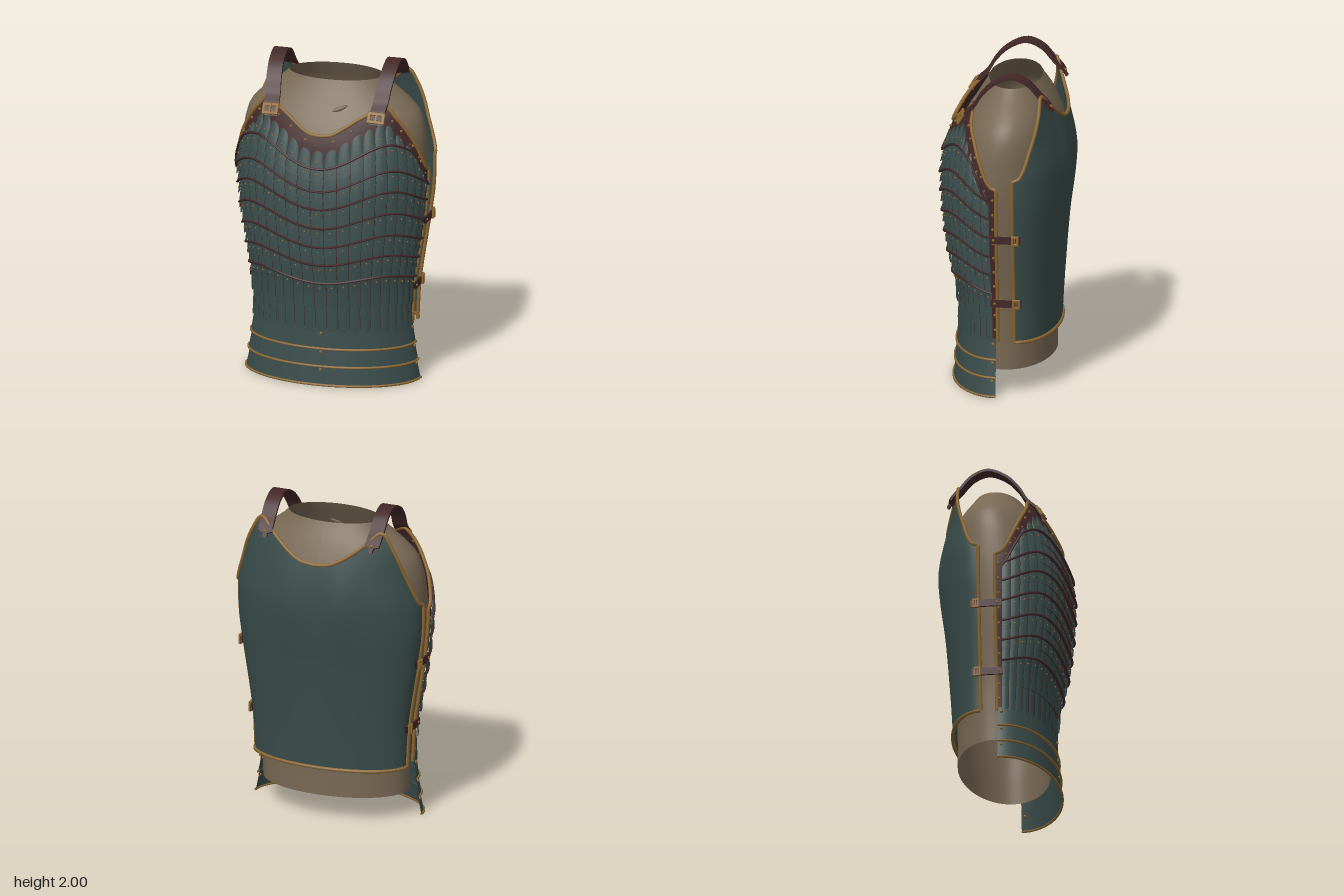
import * as THREE from 'three';
import { mergeGeometries, toCreasedNormals } from 'three/addons/utils/BufferGeometryUtils.js';

const DEG = Math.PI / 180;
const V = (x, y, z) => new THREE.Vector3(x, y, z);
const lerp = THREE.MathUtils.lerp;

function paint(name, color) {
  const m = new THREE.MeshStandardMaterial({ color, side: THREE.DoubleSide });
  m.name = name;
  return m;
}

// Smooth interpolation through a table of [key, value, value...] rows
function curve(rows, col = 1) {
  const n = rows.length;
  const slope = (i) => {
    const a = rows[Math.max(i - 1, 0)], b = rows[Math.min(i + 1, n - 1)];
    return (b[col] - a[col]) / (b[0] - a[0]);
  };
  return (x) => {
    if (x <= rows[0][0]) return rows[0][col];
    if (x >= rows[n - 1][0]) return rows[n - 1][col];
    let i = 0;
    while (x > rows[i + 1][0]) i++;
    const h = rows[i + 1][0] - rows[i][0], t = (x - rows[i][0]) / h, t2 = t * t, t3 = t2 * t;
    return (2 * t3 - 3 * t2 + 1) * rows[i][col] + (t3 - 2 * t2 + t) * h * slope(i)
      + (3 * t2 - 2 * t3) * rows[i + 1][col] + (t3 - t2) * h * slope(i + 1);
  };
}

// Grid surface from a function of u, v in 0..1
function patch(fn, nu, nv) {
  const pos = [], idx = [];
  for (let j = 0; j <= nv; j++) for (let i = 0; i <= nu; i++) pos.push(...fn(i / nu, j / nv).toArray());
  for (let j = 0; j < nv; j++) for (let i = 0; i < nu; i++) {
    const a = j * (nu + 1) + i, c = a + nu + 1;
    idx.push(a, a + 1, c + 1, a, c + 1, c);
  }
  const g = new THREE.BufferGeometry();
  g.setAttribute('position', new THREE.Float32BufferAttribute(pos, 3));
  g.setIndex(idx);
  g.computeVertexNormals();
  return g;
}

const tube = (pts, r, seg) => new THREE.TubeGeometry(new THREE.CatmullRomCurve3(pts, false, 'centripetal'), seg, r, 6);
const sample = (n, fn) => Array.from({ length: n + 1 }, (_, i) => fn(i / n));
const studs = (pts, r) => mergeGeometries(pts.map((p) => new THREE.SphereGeometry(r, 7, 5).translate(p.x, p.y, p.z)));

// Flat band with thickness along a path; wide is the direction across it
function band(pts, wide, width, thick, seg, taper = false) {
  const c = new THREE.CatmullRomCurve3(pts);
  const g = patch((u, v) => {
    const t = c.getTangent(v), n = t.clone().cross(wide).normalize();
    const k = Math.round(u * 4) % 4, sx = k === 0 || k === 3 ? -1 : 1, sn = k < 2 ? -1 : 1;
    const w = width * (taper && v > 0.95 ? 0.3 : 1);
    return c.getPoint(v).addScaledVector(wide, sx * w / 2).addScaledVector(n, sn * thick / 2);
  }, 4, seg);
  return toCreasedNormals(g, 0.6);
}

// Rectangular buckle frame with a prong
function buckleGeometry(w, h, bar) {
  const s = new THREE.Shape([[-w, -h], [w, -h], [w, h], [-w, h]].map(([x, y]) => new THREE.Vector2(x / 2, y / 2)));
  const a = w / 2 - bar, b = h / 2 - bar;
  s.holes.push(new THREE.Path([[-a, -b], [-a, b], [a, b], [a, -b]].map(([x, y]) => new THREE.Vector2(x, y))));
  const frame = new THREE.ExtrudeGeometry(s, { depth: 0.01, bevelEnabled: true, bevelSize: 0.003, bevelThickness: 0.003, bevelSegments: 1 });
  const prong = new THREE.BoxGeometry(bar * 0.7, h, 0.01).toNonIndexed().translate(0, 0, 0.012);
  return mergeGeometries([frame, prong]);
}

// Breast surface: height, half width, depth
const FRONT = [[0.34, 0.485, 0.275], [0.6, 0.5, 0.3], [0.8, 0.53, 0.345], [1, 0.562, 0.373], [1.2, 0.582, 0.388],
  [1.3, 0.588, 0.388], [1.4, 0.583, 0.378], [1.53, 0.567, 0.35], [1.6, 0.552, 0.325], [1.7, 0.538, 0.28], [1.77, 0.53, 0.23]];
const frx = curve(FRONT), frz = curve(FRONT, 2);
const front = (a, y, off = 0) => V((frx(y) + off) * Math.sin(a), y, (frz(y) + off) * Math.cos(a));
const frontEdge = curve([[0, 1.6], [7.5, 1.61], [16, 1.655], [24, 1.7], [34, 1.74], [42, 1.77], [45, 1.765], [50, 1.73],
  [64, 1.61], [73, 1.5], [80, 1.4], [85, 1.355], [90, 1.34]]);
const frontTop = (a) => frontEdge(Math.abs(a) / DEG);

// Back surface with shoulder blade swell
const BACK = [[0.34, 0.49, 0.325], [0.6, 0.505, 0.34], [1, 0.565, 0.37], [1.2, 0.592, 0.39], [1.4, 0.597, 0.398],
  [1.5, 0.585, 0.39], [1.6, 0.572, 0.373], [1.7, 0.583, 0.347], [1.8, 0.605, 0.315], [1.88, 0.62, 0.288]];
const brx = curve(BACK), brz = curve(BACK, 2);
const back = (a, y, off = 0) => {
  const x = (brx(y) + off) * Math.sin(a);
  const swell = 0.016 * Math.exp(-(((Math.abs(x) - 0.17) / 0.1) ** 2) - ((y - 1.4) / 0.25) ** 2);
  return V(x, y, -0.1 - (brz(y) + off - 0.1) * Math.cos(a) - swell);
};
const backEdge = curve([[0, 1.66], [10, 1.675], [20, 1.73], [30, 1.81], [36, 1.87], [38.5, 1.88], [42, 1.865], [48, 1.8],
  [58, 1.7], [69, 1.58], [76, 1.48], [82, 1.42], [90, 1.4]]);
const backTop = (a) => backEdge(Math.abs(a) / DEG);

// Inner torso: height, half width, front z, back z
const BODY = [[0.16, 0.465, 0.25, -0.3], [0.36, 0.468, 0.25, -0.3], [0.6, 0.485, 0.27, -0.31], [1, 0.545, 0.34, -0.34],
  [1.3, 0.572, 0.36, -0.375], [1.5, 0.567, 0.325, -0.365], [1.6, 0.553, 0.28, -0.345], [1.68, 0.525, 0.235, -0.315],
  [1.75, 0.46, 0.19, -0.285], [1.81, 0.385, 0.155, -0.255], [1.86, 0.32, 0.125, -0.225], [1.89, 0.292, 0.11, -0.21]];
const [bodyX, bodyF, bodyB] = [1, 2, 3].map((c) => curve(BODY, c));

export function createModel() {
  const root = new THREE.Group();
  root.name = 'torsoArmour';
  const teal = paint('tealSteel', 0x394c4a), leather = paint('maroonLeather', 0x432728);
  const gold = paint('agedBrass', 0x8d6831), cloth = paint('tanTorso', 0x786853);
  const add = (name, geo, mat, parent = root) => {
    const m = new THREE.Mesh(geo, mat);
    m.name = name;
    parent.add(m);
    return m;
  };
  const ang = (u) => (u - 0.5) * Math.PI;

  // Inner torso, open at neck and waist
  add('innerTorso', patch((u, v) => {
    const y = lerp(0.16, 1.89, v), a = (u - 0.5) * 2 * Math.PI, f = bodyF(y), b = bodyB(y);
    return V(bodyX(y) * Math.sin(a), y, (f + b) / 2 + (f - b) / 2 * Math.cos(a));
  }, 80, 44), cloth);
  const patchMark = add('chestMark', new THREE.SphereGeometry(1, 16, 8).scale(0.05, 0.014, 0.012), cloth);
  patchMark.position.set(0.09, 1.74, 0.195);
  patchMark.rotation.set(-0.6, 0.1, 0.5);

  // Leather backing of the breast, and the plain back plate
  add('breastLeather', patch((u, v) => front(ang(u), lerp(0.34, frontTop(ang(u)), v)), 90, 36), leather);
  add('backPlate', patch((u, v) => back(ang(u), lerp(0.34, backTop(ang(u)), v)), 90, 40), teal);

  // Brass edging
  const outline = (surf, top) => [
    ...sample(10, (t) => surf(-Math.PI / 2, lerp(0.345, top(Math.PI / 2) - 0.02, t), 0.004)),
    ...sample(90, (t) => surf(ang(t), top(ang(t)), 0.004)),
    ...sample(10, (t) => surf(Math.PI / 2, lerp(top(Math.PI / 2) - 0.02, 0.345, t), 0.004))];
  add('breastTrim', tube(outline(front, frontTop), 0.011, 300), gold);
  add('backTrim', tube(outline(back, backTop), 0.011, 300), gold);
  add('backHemTrim', tube(sample(40, (t) => back(ang(t), 0.345, 0.003)), 0.011, 80), gold);

  // Overlapping scale rows, following a wave across the chest
  const A = 84 * DEG, COLS = 21, step = 2 * A / COLS;
  const scaleTop = (a) => frontTop(a) - 0.085;
  const wave = (c) => (a) => Math.min(c + lerp(0.05, 0.145, (c - 0.66) / 0.75) * Math.sin(2 * a) ** 2, scaleTop(a) - 0.02);
  const cords = [1.41, 1.27, 1.155, 1.03, 0.905, 0.785, 0.66];
  const lines = [];
  cords.forEach((c, i) => {
    lines.push(wave(c));
    if (i < cords.length - 1) lines.push(wave((c + cords[i + 1]) / 2));
  });
  lines.push((a) => 0.5 + 0.015 * Math.sin(2 * a) ** 2, () => 0.35);
  const scaleRow = (upper, lower, rounded) => {
    const cells = [];
    for (let k = 0; k < COLS; k++) {
      const mid = -A + (k + 0.5) * step;
      cells.push(patch((u, v) => {
        const s = (u - 0.5) * 2, a = mid + s * step * 0.475;
        const round = rounded ? 0.055 * (1 - Math.sqrt(Math.max(0, 1 - s * s))) : 0;
        const hi = upper(a) - round, lo = Math.min(lower(a) - 0.006, hi);
        return front(a, lerp(lo, hi, v), lerp(0.021, 0.007, v) - 0.004 * s * s);
      }, rounded ? 10 : 4, 3));
    }
    return mergeGeometries(cells);
  };
  add('scallopedScales', scaleRow(scaleTop, lines[0], true), teal);
  for (let i = 0; i < lines.length - 1; i++) add('scaleRow' + (i + 1), scaleRow(lines[i], lines[i + 1], false), teal);

  // Leather cords between rows, with small rivets under each
  const rivets = [];
  cords.forEach((c, i) => {
    const line = wave(c);
    add('scaleCord' + (i + 1), tube(sample(60, (t) => front(lerp(-A, A, t), line(lerp(-A, A, t)), 0.019)), 0.0075, 120), leather);
    for (let k = 0; k < COLS; k++) {
      const a = -A + (k + 0.5) * step;
      rivets.push(front(a, line(a) - 0.035, 0.012));
      if (i === 0) rivets.push(front(a, line(a) + 0.04, 0.014));
    }
  });
  add('scaleRivets', studs(rivets, 0.006), gold);

  // Larger studs along the yoke and side borders
  const border = [];
  for (const d of [-76, -68, -58, -50, -31, -20, -9, 9, 20, 31, 50, 58, 68, 76]) {
    border.push(front(d * DEG, frontTop(d * DEG) - 0.042, 0.004));
  }
  for (const s of [-1, 1]) for (let y = 0.42; y < 1.3; y += 0.095) border.push(front(s * 87 * DEG, y, 0.006));
  add('borderStuds', studs(border, 0.009), gold);

  // Flared waist lames with brass hems
  const fauldStuds = [];
  [[0.365, 0.235, 0.492, 0.512, 0.285, 0.295], [0.245, 0.125, 0.504, 0.527, 0.288, 0.305],
    [0.135, 0.01, 0.516, 0.542, 0.297, 0.313]].forEach(([y1, y0, xa, xb, za, zb], i) => {
    const p = (a, v, off = 0) => V((lerp(xb, xa, v) + off) * Math.sin(a), lerp(y0, y1, v), 0.008 + (lerp(zb, za, v) + off) * Math.cos(a));
    add('waistLame' + (i + 1), patch((u, v) => p(ang(u), v), 60, 3), teal);
    add('waistTrim' + (i + 1), tube(sample(40, (t) => p(ang(t), 0, 0.002)), 0.008, 80), gold);
    for (const d of [-86, 0, 86]) fauldStuds.push(p(d * DEG, 0.74, 0.002));
  });
  add('waistStuds', studs(fauldStuds, 0.01), gold);

  const shoulderBuckle = buckleGeometry(0.1, 0.065, 0.014), sideBuckle = buckleGeometry(0.04, 0.055, 0.009);
  for (const s of [1, -1]) {
    const side = s > 0 ? 'left' : 'right';
    // Arched shoulder strap with buckle and rear stud
    const path = [[0.328, 1.68, 0.258], [0.332, 1.735, 0.222], [0.338, 1.79, 0.165], [0.346, 1.87, 0.115], [0.353, 1.945, 0.04],
      [0.356, 1.99, -0.07], [0.356, 1.955, -0.165], [0.355, 1.88, -0.235], [0.352, 1.83, -0.282], [0.345, 1.775, -0.318]];
    add(side + 'ShoulderStrap', band(path.map(([x, y, z]) => V(s * x, y, z)), V(1, 0, 0), 0.092, 0.016, 48, true), leather);
    const b = add(side + 'ShoulderBuckle', shoulderBuckle, gold);
    b.position.set(s * 0.33, 1.715, 0.242);
    b.rotation.set(-0.55, s * 0.15, 0);
    add(side + 'ShoulderStud', studs([V(s * 0.35, 1.81, -0.305)], 0.012), gold);

    // Side straps joining breast and back
    for (const [name, y] of [['Upper', 1.02], ['Lower', 0.595]]) {
      const x = frx(y) + 0.016;
      const pts = [V(s * (x - 0.003), y, 0.04), V(s * x, y, -0.02), V(s * x, y, -0.09), V(s * (x - 0.008), y, -0.15)];
      add(side + name + 'SideStrap', band(pts, V(0, 1, 0), 0.045, 0.012, 12), leather);
      const c = add(side + name + 'SideBuckle', sideBuckle, gold);
      c.position.set(s * (x + 0.002), y, -0.115);
      c.rotation.y = s * (Math.PI / 2 + 0.12);
      add(side + name + 'SideStrapStud', studs([V(s * (x + 0.004), y, 0.015)], 0.009), gold);
    }
  }
  return root;
}
